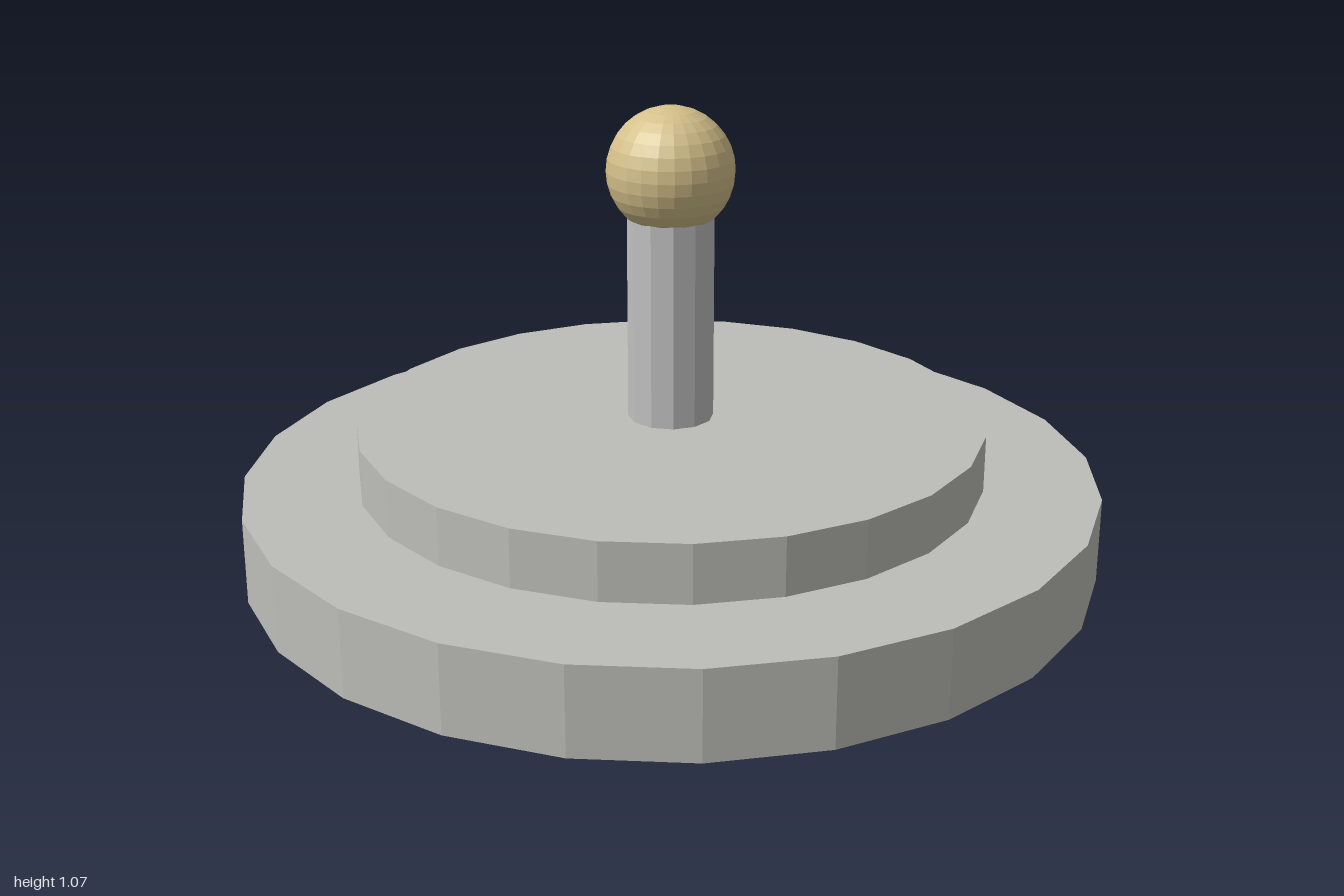
import * as THREE from 'three';

export function createModel() {
  const model = new THREE.Group();
  const stone = new THREE.MeshStandardMaterial({ color: 0xbdbdb8 });
  const metal = new THREE.MeshStandardMaterial({ color: 0xc0c0c0 });
  const brass = new THREE.MeshStandardMaterial({ color: 0xd4c08a });
  for (const m of [stone, metal, brass]) m.flatShading = true;

  // Upright cylinder standing between two heights
  function disc(name, radius, bottom, top, sides, material) {
    const mesh = new THREE.Mesh(
      new THREE.CylinderGeometry(radius, radius, top - bottom, sides), material);
    mesh.position.y = (bottom + top) / 2;
    mesh.name = name;
    model.add(mesh);
  }

  // Stepped round base and post
  disc('base', 1, 0, 0.2, 24, stone);
  disc('upperStep', 0.733, 0.2, 0.333, 24, stone);
  disc('post', 0.1, 0.333, 0.867, 12, metal);

  // Ball on top of the post
  const ball = new THREE.Mesh(new THREE.SphereGeometry(0.147, 24, 16), brass);
  ball.position.y = 0.92;
  ball.name = 'ball';
  model.add(ball);

  return model;
}
